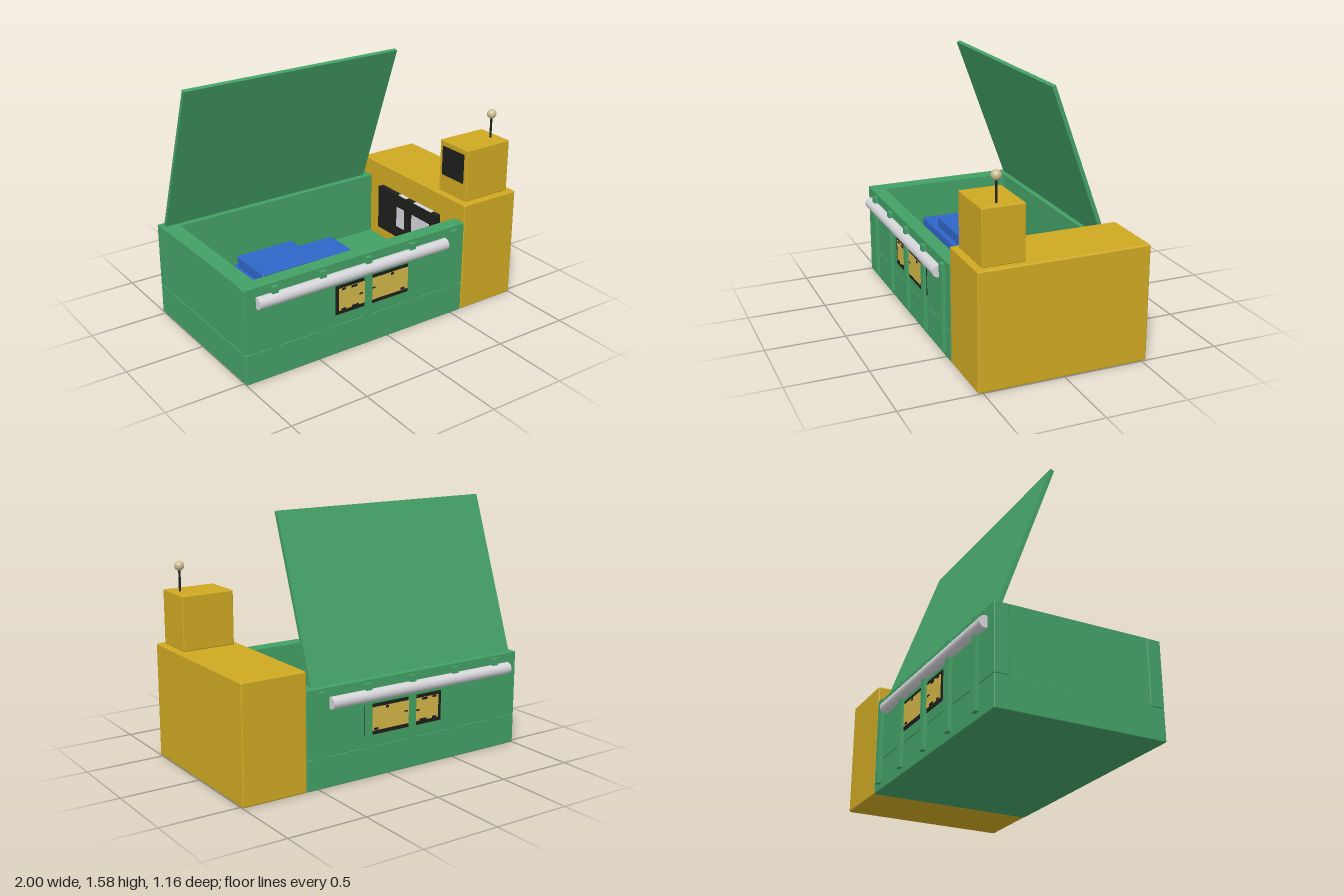
import * as THREE from 'three';
import { RoundedBoxGeometry } from 'three/addons/geometries/RoundedBoxGeometry.js';

const mat = (name, color) => {
  const m = new THREE.MeshStandardMaterial({ color });
  m.name = name;
  return m;
};

export function createModel() {
  const green = mat('green', 0x43a066);
  const yellow = mat('yellow', 0xcfa922);
  const blue = mat('blue', 0x2f66c8);
  const silver = mat('silver', 0xd5d5da);
  const black = mat('black', 0x1e1e1c);
  const labelYellow = mat('label yellow', 0xd2b648);
  const tan = mat('tan', 0xcdbf92);

  const model = new THREE.Group();
  model.name = 'toyChest';

  const add = (name, geometry, material, x = 0, y = 0, z = 0, parent = model) => {
    const mesh = new THREE.Mesh(geometry, material);
    mesh.name = name;
    mesh.position.set(x, y, z);
    parent.add(mesh);
    return mesh;
  };
  // Box given by its limits along each axis; r rounds the edges
  const box = (name, material, [x0, x1], [y0, y1], [z0, z1], r = 0, parent = model) => {
    const size = [x1 - x0, y1 - y0, z1 - z0];
    const geometry = r ? new RoundedBoxGeometry(...size, 2, r) : new THREE.BoxGeometry(...size);
    return add(name, geometry, material, (x0 + x1) / 2, (y0 + y1) / 2, (z0 + z1) / 2, parent);
  };

  // Chest: base slab and three walls, closed on the left by the cab
  box('base', green, [-1, 0.58], [0, 0.195], [-0.53, 0.53], 0.006);
  box('frontWall', green, [-1, 0.58], [0.195, 0.61], [0.44, 0.53], 0.005);
  box('backWall', green, [-1, 0.58], [0.195, 0.61], [-0.53, -0.44], 0.005);
  box('endWall', green, [-0.997, -0.89], [0.195, 0.61], [-0.44, 0.44]);

  // Open lid, leaning back from its top edge
  const lid = add('lid', new THREE.BoxGeometry(1.5, 1.04, 0.025), green, -0.22, 1.087, -0.31);
  lid.rotation.x = THREE.MathUtils.degToRad(20);

  // Trim repeated on the front and back walls
  const tube = new THREE.CylinderGeometry(0.037, 0.037, 1.35, 24).rotateZ(Math.PI / 2);
  for (const [side, s] of [['front', 1], ['back', -1]]) {
    const trim = new THREE.Group();
    trim.name = side + 'Trim';
    model.add(trim);
    const span = (a, b) => (s > 0 ? [a, b] : [-b, -a]);

    for (let i = 0; i < 5; i++) {
      const x = -0.81 + i * 0.324;
      box('rib', green, [x - 0.021, x + 0.021], [0.04, 0.59], span(0.525, 0.555), 0, trim);
    }
    add('rail', tube, silver, -0.25, 0.515, s * 0.543, trim);

    // Label with worn, dark-edged print
    box('labelBorder', black, [-0.39, 0.185], [0.265, 0.455], span(0.529, 0.534), 0, trim);
    box('labelFace', labelYellow, [-0.368, 0.14], [0.29, 0.434], span(0.532, 0.537), 0, trim);
    const marks = [
      [-0.335, 0.296, 0.03, 0.012], [-0.335, 0.428, 0.03, 0.012],
      [-0.25, 0.296, 0.05, 0.012], [-0.26, 0.426, 0.04, 0.014],
      [-0.21, 0.36, 0.025, 0.01], [-0.12, 0.37, 0.025, 0.008],
      [0.02, 0.425, 0.02, 0.016], [0.1, 0.3, 0.03, 0.014],
    ];
    for (const [x, y, w, h] of marks) {
      box('labelMark', black, [x - w / 2, x + w / 2], [y - h / 2, y + h / 2],
        span(0.535, 0.539), 0, trim);
    }
  }

  // Yellow cab with a smaller head box on top
  box('cab', yellow, [0.58, 1], [0, 0.725], [-0.53, 0.53], 0.01);
  box('head', yellow, [0.62, 0.96], [0.725, 1.065], [0.23, 0.49], 0.007);
  box('headScreen', black, [0.614, 0.621], [0.84, 1.03], [0.26, 0.46]);

  // Antenna
  add('antennaRod', new THREE.CylinderGeometry(0.007, 0.007, 0.14, 12), black, 0.9, 1.13, 0.38);
  add('antennaBall', new THREE.SphereGeometry(0.03, 24, 16), tan, 0.9, 1.22, 0.38);

  // Panel on the inner face of the cab
  box('innerPanel', black, [0.54, 0.581], [0.28, 0.58], [-0.305, 0.3]);
  for (const [z0, z1] of [[-0.1, -0.02], [0.06, 0.24]]) {
    box('panelPatch', silver, [0.55, 0.578], [0.576, 0.583], [z0, z1]);
    box('panelPatchFace', silver, [0.537, 0.542], [0.36, 0.5], [z0, z1]);
  }

  // Blue toy car lying in the chest
  box('carBody', blue, [-0.865, 0.065], [0.19, 0.38], [-0.185, 0.185], 0.012);
  box('carRoof', blue, [-0.655, -0.26], [0.37, 0.45], [-0.155, 0.155], 0.01);
  box('windscreen', black, [-0.262, -0.256], [0.385, 0.44], [-0.14, 0.14]);

  return model;
}
